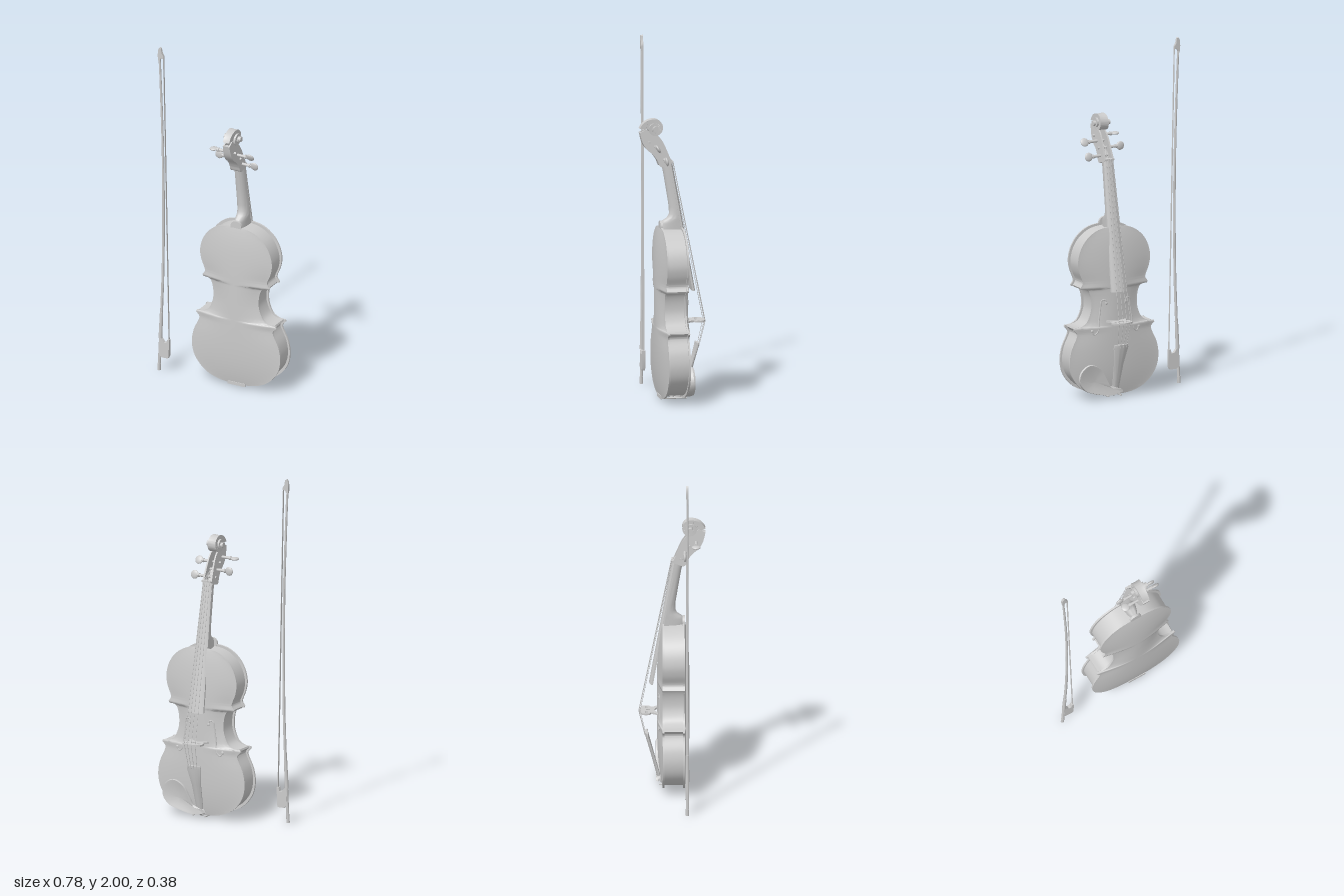
import * as THREE from 'three';
import { toCreasedNormals } from 'three/addons/utils/BufferGeometryUtils.js';

const mat = new THREE.MeshStandardMaterial({ color: 0xcccccc, side: THREE.DoubleSide });
const V2 = (p) => new THREE.Vector2(p[0], p[1]);
const V3 = (x, y, z) => new THREE.Vector3(x, y, z);

function add(parent, name, geometry) {
  const mesh = new THREE.Mesh(geometry, mat);
  mesh.name = name;
  parent.add(mesh);
  return mesh;
}
const smooth = (pts, n) => new THREE.SplineCurve(pts.map(V2)).getPoints(n);
const extrude = (shape, depth, crease = 0.6) => toCreasedNormals(
  new THREE.ExtrudeGeometry(shape, { depth, bevelEnabled: false, curveSegments: 16 }), crease);

// Skin through equal-length rows of points; closed rows become capped tubes
function skin(rows, closed, crease = 0.6) {
  const n = rows[0].length, pos = rows.flat().flatMap((p) => [p.x, p.y, p.z]), idx = [];
  for (let i = 0; i < rows.length - 1; i++) {
    for (let j = 0; j < (closed ? n : n - 1); j++) {
      const a = i * n + j, b = i * n + (j + 1) % n;
      idx.push(a, b, b + n, a, b + n, a + n);
    }
  }
  if (closed) {
    const e = (rows.length - 1) * n;
    for (let j = 1; j < n - 1; j++) idx.push(0, j + 1, j, e, e + j, e + j + 1);
  }
  const g = new THREE.BufferGeometry();
  g.setAttribute('position', new THREE.Float32BufferAttribute(pos, 3));
  g.setIndex(idx);
  return toCreasedNormals(g, crease);
}

// Cylinder between two points
function rod(parent, name, a, b, r0, r1 = r0, sides = 12) {
  const d = b.clone().sub(a);
  const m = add(parent, name, new THREE.CylinderGeometry(r1, r0, d.length(), sides));
  m.position.copy(a).addScaledVector(d, 0.5);
  m.quaternion.setFromUnitVectors(V3(0, 1, 0), d.normalize());
  return m;
}

// Body half outline, bottom to top: lower bout, waist, upper bout
const half = [
  ...smooth([[0, 0.012], [0.11, 0.022], [0.2, 0.06], [0.262, 0.13], [0.283, 0.21], [0.272, 0.29], [0.24, 0.36], [0.236, 0.385], [0.257, 0.408]], 40),
  ...smooth([[0.253, 0.418], [0.215, 0.422], [0.175, 0.445], [0.15, 0.5], [0.145, 0.55], [0.152, 0.6], [0.17, 0.632], [0.21, 0.638]], 28),
  ...smooth([[0.215, 0.648], [0.2, 0.67], [0.202, 0.69], [0.222, 0.74], [0.23, 0.8], [0.212, 0.87], [0.17, 0.93], [0.1, 0.973], [0, 0.988]], 40)];
const outline = (inset, ys) => {
  const right = half.map((p) => V2([Math.max(0, p.x - inset), 0.5 + (p.y - 0.5) * ys]));
  return new THREE.Shape([...right, ...right.slice(1, -1).reverse().map((p) => V2([-p.x, p.y]))]);
};
const arch = (u, y) => Math.pow(1 - u * u, 1.3) * Math.max(0, 1 - Math.pow((y - 0.5) / 0.488, 4));
const widthAt = (y) => half.reduce((a, b) => (Math.abs(b.y - y) < Math.abs(a.y - y) ? b : a)).x;
const bellyZ = (x, y) => -0.055 - 0.03 * arch(Math.min(1, x / widthAt(y)), y);

function buildBody(g) {
  add(g, 'ribs', extrude(outline(0.012, 0.976), 0.106)).position.z = -0.046;
  for (const [name, z, edge, rise] of [['back', 0.06, 0.07, 0.028], ['belly', -0.055, -0.055, -0.03]]) {
    add(g, name + 'Edge', extrude(outline(0, 1), 0.01)).position.z = z;
    const rows = half.map((p) => Array.from({ length: 33 }, (_, j) => {
      const u = Math.sin((j / 16 - 1) * Math.PI / 2);
      return V3(u * p.x, p.y, edge + rise * arch(u, p.y));
    }));
    add(g, name + 'Arch', skin(rows, false, 1.2));
  }
  // S-shaped sound holes, set flush with the belly
  for (const s of [-1, 1]) {
    const pts = [[0.06, 0.55], [0.068, 0.572], [0.088, 0.566], [0.095, 0.52], [0.105, 0.45], [0.114, 0.39], [0.135, 0.374], [0.148, 0.395]];
    const curve = new THREE.CatmullRomCurve3(pts.map(([x, y]) => V3(s * x, y, bellyZ(x, y) + 0.002)));
    add(g, 'soundHole', new THREE.TubeGeometry(curve, 48, 0.005, 6));
    for (const [x, y] of [pts[0], pts[7]]) {
      const eye = add(g, 'soundHoleEye', new THREE.SphereGeometry(0.009, 14, 8));
      eye.position.set(s * x, y, bellyZ(x, y));
      eye.scale.z = 0.4;
    }
  }
}

// Tapered board with a crowned face towards -z; each end is [y, z, half width]
function board(ends, thick, crown) {
  return skin(ends.map(([y, z, w]) => {
    const row = [];
    for (let j = 0; j <= 10; j++) row.push(V3(w * (j / 5 - 1), y, z + crown * (j / 5 - 1) ** 2));
    row.push(V3(w, y, z + thick), V3(-w, y, z + thick));
    return row;
  }), true);
}

function buildNeck(g) {
  const rings = [[1.35, 0.062, 0.031], [1.3, 0.052, 0.032], [1.2, 0.035, 0.034], [1.1, 0.019, 0.036], [1.06, 0.018, 0.037],
    [1.038, 0.03, 0.037], [1.022, 0.056, 0.036], [1.005, 0.067, 0.035], [0.97, 0.068, 0.034]];
  add(g, 'neck', skin(rings.map(([y, zb, w]) => {
    const zf = (y - 1.355) * 0.177 + 0.015;
    return Array.from({ length: 17 }, (_, j) => {
      const a = Math.PI * j / 16;
      return V3(w * Math.cos(a), y, zf + (zb - zf) * Math.pow(Math.sin(a), 0.8));
    });
  }), true, 0.9));
  const button = add(g, 'heelButton', new THREE.CylinderGeometry(0.035, 0.035, 0.014, 28));
  button.rotation.x = Math.PI / 2;
  button.position.set(0, 0.985, 0.065);
  add(g, 'fingerboard', board([[0.62, -0.13, 0.05], [1.355, 0, 0.03]], 0.022, 0.012));
  add(g, 'nut', new THREE.BoxGeometry(0.06, 0.01, 0.026)).position.set(0, 1.358, 0.01);
}

function buildHead(g) {
  // Side profiles are drawn as (z, y)
  const spine = smooth([[0.062, 1.33], [0.078, 1.34], [0.09, 1.37], [0.115, 1.405], [0.145, 1.43], [0.172, 1.47], [0.188, 1.53]], 24);
  const front = smooth([[0.15, 1.55], [0.12, 1.525], [0.085, 1.51], [0.057, 1.475], [0.032, 1.42], [0.004, 1.352]], 20);
  const inner = spine.map((p, i) => V2([p.x - 0.024, p.y + 0.014 * (1 - i / 24)])).reverse();
  const slab = (name, pts, x0, x1) => {
    const geo = new THREE.ExtrudeGeometry(new THREE.Shape(pts), { depth: x1 - x0, bevelEnabled: false });
    geo.rotateY(-Math.PI / 2).translate(x1, 0, 0);
    const p = geo.attributes.position;
    for (let i = 0; i < p.count; i++) p.setX(i, p.getX(i) * (1 - 0.45 * (p.getY(i) - 1.33) / 0.25));
    add(g, name, toCreasedNormals(geo, 0.6));
  };
  for (const s of [-1, 1]) slab('pegboxCheek', [...spine, ...front], s > 0 ? 0.021 : -0.033, s > 0 ? 0.033 : -0.021);
  slab('pegboxBack', [...spine, ...inner], -0.021, 0.021);

  // Scroll: a spiral that tightens as it widens towards the eye
  const radii = [0.085, 0.053, 0.046, 0.041, 0.036, 0.031, 0.026, 0.022, 0.018], rows = [];
  for (let i = 0; i <= 96; i++) {
    const t = i / 96, k = Math.min(7, Math.floor(t * 8)), f = t * 8 - k;
    const ease = k === 0 ? Math.sin(f * Math.PI / 2) : f;
    const r = radii[k] + (radii[k + 1] - radii[k]) * ease, a = t * 4 * Math.PI, h = 0.02 + 0.024 * t;
    rows.push([[r, h], [r * 0.96, 0], [r, -h], [0.002, -h], [0.002, h]].map(([q, x]) =>
      V3(x, 1.553 + q * Math.sin(a), 0.103 + q * Math.cos(a))));
  }
  add(g, 'scroll', skin(rows, true));
  rod(g, 'scrollEye', V3(-0.053, 1.553, 0.103), V3(0.053, 1.553, 0.103), 0.015, 0.015, 24);

  // Tuning pegs: [side, y, z, turn of the grip]
  for (const [s, y, z, turn] of [[-1, 1.475, 0.135, 1.57], [1, 1.45, 0.1, 0.5], [-1, 1.415, 0.072, 0], [1, 1.375, 0.05, 0.2]]) {
    const peg = new THREE.Group();
    peg.name = 'peg';
    peg.position.set(0, y, z);
    rod(peg, 'pegShaft', V3(-s * 0.038, 0, 0), V3(s * 0.088, 0, 0), 0.007, 0.009);
    rod(peg, 'pegCollar', V3(s * 0.074, 0, 0), V3(s * 0.082, 0, 0), 0.012);
    const grip = add(peg, 'pegGrip', new THREE.SphereGeometry(0.025, 20, 14));
    grip.position.x = s * 0.106;
    grip.scale.z = 0.36;
    grip.rotation.x = turn;
    g.add(peg);
  }
}

function buildFittings(g) {
  // Bridge, drawn as (x, height) and stood across the strings
  const side = [[0.03, 0.088], [0.034, 0.073], [0.065, 0.07], [0.066, 0.082], [0.05, 0.1], [0.044, 0.118], [0.06, 0.128], [0.064, 0.15], [0.058, 0.168], [0.035, 0.181]];
  const shape = new THREE.Shape([...side, [0, 0.187], ...side.map(([x, y]) => [-x, y]).reverse(), [0, 0.102]].map(V2));
  for (const [x, y, r] of [[-0.038, 0.145, 0.009], [0.038, 0.145, 0.009], [0, 0.135, 0.011]]) {
    shape.holes.push(new THREE.Path().absarc(x, y, r, 0, Math.PI * 2, true));
  }
  add(g, 'bridge', extrude(shape, 0.01).rotateX(-Math.PI / 2)).position.y = 0.44;

  add(g, 'tailpiece', board([[0.05, -0.085, 0.02], [0.2, -0.125, 0.029], [0.3, -0.153, 0.045], [0.318, -0.155, 0.042]], 0.018, 0.012));
  const gut = new THREE.CatmullRomCurve3([V3(0, 0.06, -0.075), V3(0, 0.016, -0.062), V3(0, 0.008, -0.01)]);
  add(g, 'tailGut', new THREE.TubeGeometry(gut, 16, 0.005, 8));
  rod(g, 'endButton', V3(0, 0.003, 0), V3(0, 0.03, 0), 0.012, 0.009, 18);

  // Chin rest: spreading plate with a dished face, held by two clamps
  const rim = new THREE.SplineCurve([[-0.045, 0.03], [-0.03, 0.05], [0.03, 0.06], [0.06, 0.11], [0.1, 0.175], [0.165, 0.205], [0.22, 0.175],
    [0.238, 0.115], [0.2, 0.058], [0.12, 0.03], [0.03, 0.015], [-0.045, 0.03]].map(V2)).getPoints(72);
  const dish = [[0.9, -0.058], [1, -0.08], [0.97, -0.09], [0.85, -0.088], [0.5, -0.08], [0.02, -0.077]];
  add(g, 'chinRest', skin(dish.map(([k, z]) => rim.map((p) => V3(0.13 + (p.x - 0.13) * k, 0.1 + (p.y - 0.1) * k, z))), false, 0.8));
  for (const x of [-0.035, 0.045]) {
    rod(g, 'chinRestClamp', V3(x, 0.01, -0.075), V3(x, 0.01, 0.074), 0.005);
  }
  add(g, 'clampFoot', new THREE.BoxGeometry(0.11, 0.018, 0.006)).position.set(0.005, 0.017, 0.074);

  // Strings: tailpiece, over the bridge, along the fingerboard, to the pegs
  const ends = [[1.375, 0.05], [1.45, 0.1], [1.475, 0.135], [1.415, 0.072]];
  ends.forEach(([py, pz], i) => {
    const u = i - 1.5, crown = 0.0022 * u * u;
    const path = [V3(u * 0.018, 0.3, -0.154 + crown), V3(u * 0.024, 0.445, -0.188 + crown), V3(u * 0.013, 1.358, -0.005 + crown), V3(u * 0.008, py, pz)];
    for (let k = 0; k < 3; k++) rod(g, 'string', path[k], path[k + 1], 0.0015, 0.0015, 6);
  });
}

function buildBow(g) {
  const pts = [[-0.38, 0.02], [-0.372, 0.2], [-0.356, 0.6], [-0.352, 1], [-0.357, 1.4], [-0.371, 1.8], [-0.378, 1.94]];
  const stick = new THREE.SplineCurve(pts.map(V2)).getPoints(40);
  add(g, 'bowStick', skin(stick.map((p, i) => Array.from({ length: 10 }, (_, j) => {
    const a = j * Math.PI / 5, r = 0.009 - 0.003 * i / 40;
    return V3(p.x + r * Math.cos(a), p.y, r * Math.sin(a));
  })), true, 0.9));
  rod(g, 'bowScrew', V3(-0.381, 0, 0), V3(-0.38, 0.04, 0), 0.01, 0.01, 10);
  rod(g, 'bowGrip', V3(-0.372, 0.2, 0), V3(-0.365, 0.36, 0), 0.011, 0.0095);
  const plate = (name, list, depth) => add(g, name, extrude(new THREE.Shape(list.map(V2)), depth)).position.z = -depth / 2;
  plate('bowTip', [[-0.384, 1.92], [-0.372, 1.92], [-0.366, 1.935], [-0.35, 1.935], [-0.35, 1.95], [-0.36, 1.965], [-0.366, 1.995], [-0.374, 2], [-0.384, 1.985], [-0.386, 1.95]], 0.014);
  plate('bowFrog', [[-0.372, 0.21], [-0.358, 0.195], [-0.345, 0.178], [-0.33, 0.178], [-0.324, 0.2], [-0.312, 0.2], [-0.314, 0.1], [-0.32, 0.085], [-0.36, 0.085], [-0.376, 0.1]], 0.02);
  add(g, 'bowHair', skin([[-0.316, 0.19], [-0.351, 1.94]].map(([x, y]) =>
    [[-1, -1], [1, -1], [1, 1], [-1, 1]].map(([a, b]) => V3(x + a * 0.001, y, b * 0.006))), true));
}

export function createModel() {
  const model = new THREE.Group();
  model.name = 'violinAndBow';
  const violin = new THREE.Group();
  violin.name = 'violin';
  violin.position.x = 0.106;
  [buildBody, buildNeck, buildHead, buildFittings].forEach((build) => build(violin));
  const bow = new THREE.Group();
  bow.name = 'bow';
  bow.position.z = 0.082;
  buildBow(bow);
  model.add(violin, bow);
  return model;
}
